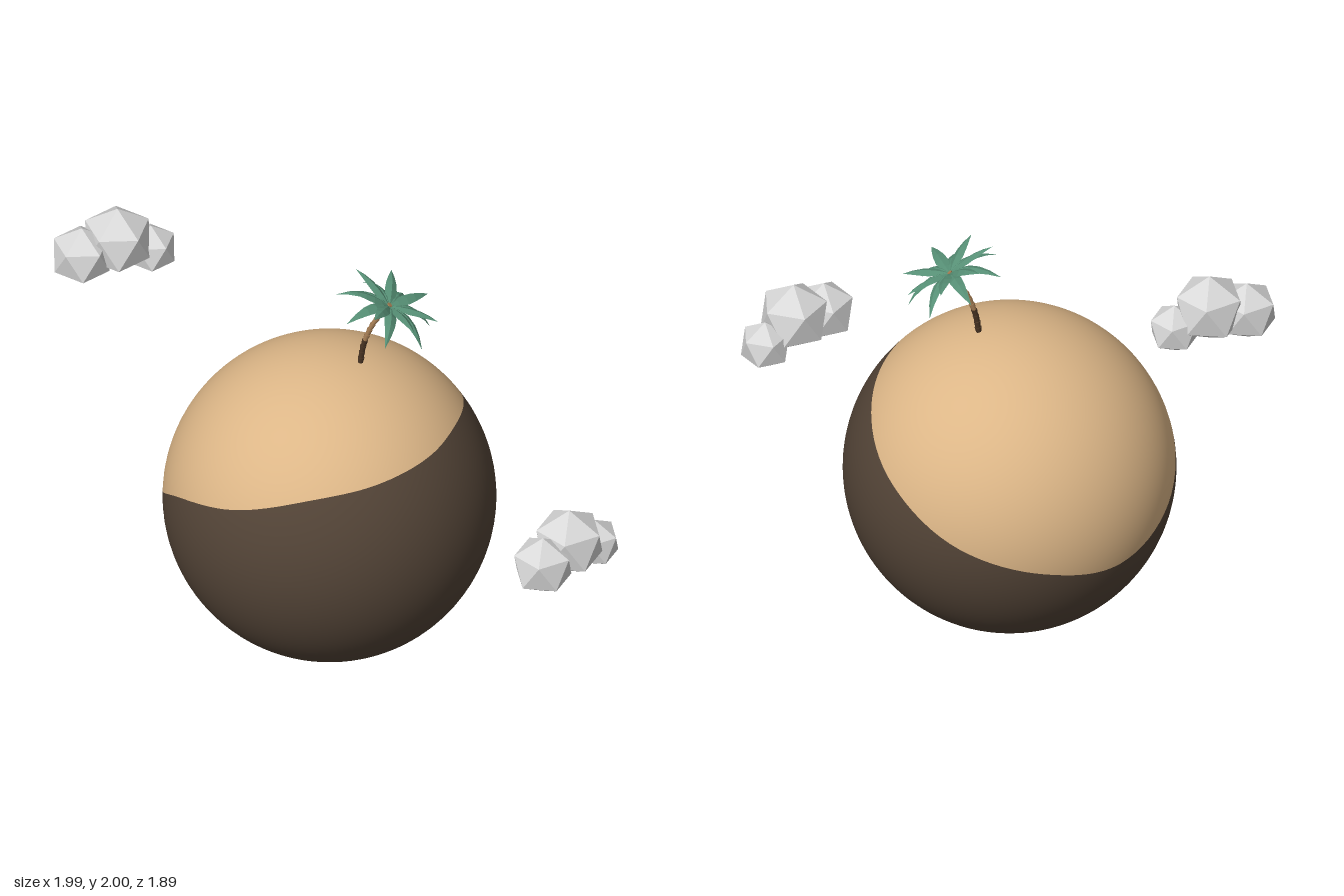
import * as THREE from 'three';

const V = (x, y, z) => new THREE.Vector3(x, y, z);

function material(name, color, extra = {}) {
  const m = new THREE.MeshStandardMaterial({ color, ...extra });
  m.name = name;
  return m;
}

function addMesh(parent, name, geometry, mat) {
  const mesh = new THREE.Mesh(geometry, mat);
  mesh.name = name;
  parent.add(mesh);
  return mesh;
}

// Height of the sand edge above the planet centre, every 30 degrees from +z towards +x
const shoreHeights = [0.437, 0.455, 0.45, 0.375, 0.225, 0.045, -0.075, -0.145, -0.04, 0.17, 0.29, 0.395];
const shore = new THREE.CatmullRomCurve3(shoreHeights.map((h) => V(0, h, 0)), true, 'catmullrom');

// One part of the planet: from the top pole to the shore, or from the shore to the bottom pole
function planetPatch(radius, isTop) {
  const g = new THREE.PlaneGeometry(1, 1, 96, 36);
  const { position, normal, uv } = g.attributes;
  for (let i = 0; i < position.count; i++) {
    const phi = uv.getX(i) * Math.PI * 2;
    const v = 1 - uv.getY(i);
    const edge = Math.acos(shore.getPoint(uv.getX(i) % 1).y / radius);
    const theta = isTop ? edge * v : edge + (Math.PI - edge) * v;
    const n = V(0, 0, 0).setFromSphericalCoords(1, theta, phi);
    normal.setXYZ(i, n.x, n.y, n.z);
    position.setXYZ(i, n.x * radius, n.y * radius, n.z * radius);
  }
  return g;
}

// Three overlapping faceted puffs, each with a corner pointing up
function makeCloud(mat) {
  const cloud = new THREE.Group();
  cloud.name = 'cloud';
  const puffs = [[0, 0, 0.159], [-0.162, -0.04, 0.138], [0.153, -0.085, 0.115]];
  for (const [x, y, r] of puffs) {
    const g = new THREE.IcosahedronGeometry(r, 0);
    g.rotateX(-Math.atan2((1 + Math.sqrt(5)) / 2, 1)).rotateY(Math.PI / 2);
    addMesh(cloud, 'cloudPuff', g, mat).position.set(x, y, 0);
  }
  return cloud;
}

// Pointed leaf along +z with a raised midrib, arching up and then bending to the tip height
function leafGeometry(length, width, tipHeight) {
  const widths = [0.25, 0.75, 1, 0.85, 0.5, 0];
  const points = [], index = [];
  widths.forEach((w, i) => {
    const t = i / (widths.length - 1);
    const y = 0.11 * t * (1 - t) + tipHeight * t * t;
    const half = (w * width) / 2;
    points.push(-half, y - half * 0.45, t * length, 0, y, t * length, half, y - half * 0.45, t * length);
    if (i === 0) return;
    for (const k of [0, 1]) {
      const a = (i - 1) * 3 + k, b = a + 3;
      index.push(a, b, a + 1, a + 1, b, b + 1);
    }
  });
  const g = new THREE.BufferGeometry();
  g.setAttribute('position', new THREE.Float32BufferAttribute(points, 3));
  g.setIndex(index);
  g.computeVertexNormals();
  return g;
}

function makePalm(bark, darkBark, leafMat) {
  const palm = new THREE.Group();
  palm.name = 'palmTree';
  const up = V(0, 1, 0);

  // Trunk of flared segments along a curve
  const path = new THREE.CatmullRomCurve3([
    V(0.15, 1.4, -0.175), V(0.165, 1.5, -0.172), V(0.2, 1.6, -0.16), V(0.245, 1.67, -0.145), V(0.27, 1.705, -0.135),
  ]);
  const count = 11;
  for (let i = 0; i < count; i++) {
    const a = path.getPointAt(i / count), b = path.getPointAt((i + 1) / count);
    const r = 0.015 - 0.004 * (i / count);
    const g = new THREE.CylinderGeometry(r, r * 0.72, a.distanceTo(b) * 1.08, 8);
    const segment = addMesh(palm, 'trunkSegment', g, i < 4 ? darkBark : bark);
    segment.position.copy(a).lerp(b, 0.5);
    segment.quaternion.setFromUnitVectors(up, b.clone().sub(a).normalize());
  }

  // Tilted crown with alternating raised and drooping leaves
  const crown = new THREE.Group();
  crown.name = 'crown';
  crown.position.set(0.268, 1.7, -0.133);
  crown.quaternion.setFromUnitVectors(up, V(0.42, 1, 0.15).normalize());
  const leaves = 14;
  for (let i = 0; i < leaves; i++) {
    const raised = i % 2 === 0;
    const g = leafGeometry(raised ? 0.215 : 0.225, 0.056, raised ? 0.035 : -0.065);
    const leaf = addMesh(crown, 'leaf', g, leafMat);
    leaf.rotation.y = (i / leaves) * Math.PI * 2 + 0.12;
  }
  palm.add(crown);
  return palm;
}

export function createModel() {
  const model = new THREE.Group();
  model.name = 'islandPlanet';
  const sand = material('sand', 0xdcb687);
  const rock = material('rock', 0x524336);
  const cloudGrey = material('cloudGrey', 0xd8d8d8);
  const bark = material('bark', 0xa87f55);
  const darkBark = material('darkBark', 0x4a3524);
  const leafGreen = material('leafGreen', 0x568f75, { side: THREE.DoubleSide, flatShading: true });

  // Planet
  const planet = new THREE.Group();
  planet.name = 'planet';
  planet.position.set(0.025, 0.71, -0.213);
  addMesh(planet, 'sandCap', planetPatch(0.71, true), sand);
  addMesh(planet, 'rockBase', planetPatch(0.71, false), rock);
  model.add(planet);

  model.add(makePalm(bark, darkBark, leafGreen));

  // Clouds
  const highCloud = makeCloud(cloudGrey);
  highCloud.position.set(-0.713, 1.842, -0.812);
  const lowCloud = makeCloud(cloudGrey);
  lowCloud.position.set(0.752, 0.943, 0.75);
  lowCloud.rotation.y = 0.44;
  model.add(highCloud, lowCloud);
  return model;
}
